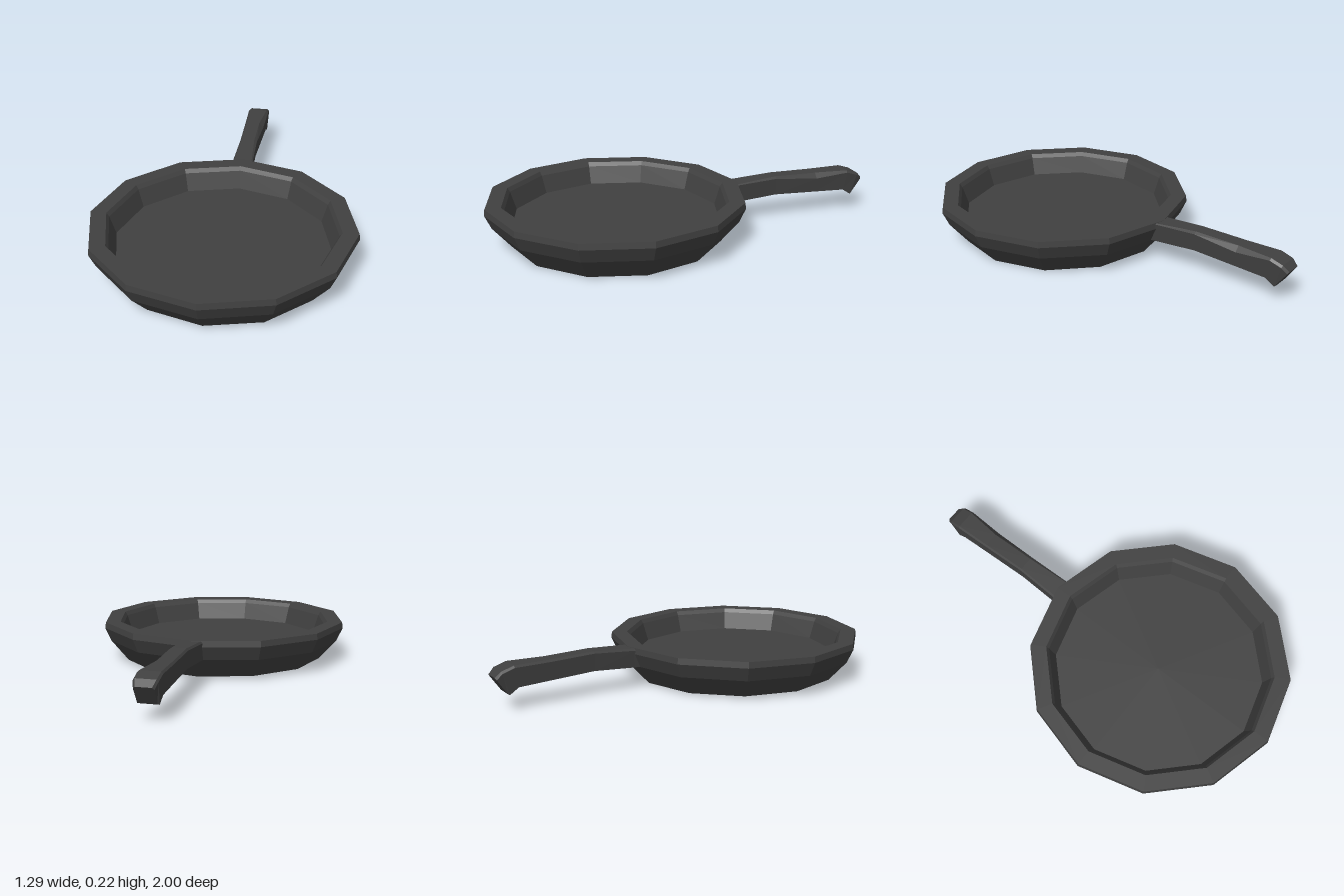
import * as THREE from 'three';

const PAN_Z = 0.35; // centre of the dish

// Twelve-sided dish turned from one closed profile
function makeDish(material) {
  const profile = [
    [0, 0.005], [0.525, 0.005], [0.615, 0.11], [0.647, 0.18], [0.643, 0.21], // underside and outer wall
    [0.565, 0.21], [0.552, 0.19], [0.522, 0.1], [0, 0.1], // rim, inner wall, floor
  ].map(([r, y]) => new THREE.Vector2(r, y));
  const geometry = new THREE.LatheGeometry(profile, 12);

  // The hand-cast base leans very slightly to one side
  const p = geometry.attributes.position;
  for (let i = 0; i < p.count; i++) {
    if (p.getY(i) < 0.05) p.setY(i, p.getY(i) - p.getX(i) * 0.009);
  }
  geometry.computeVertexNormals();

  const dish = new THREE.Mesh(geometry, material);
  dish.name = 'dish';
  dish.position.z = PAN_Z;
  return dish;
}

// Handle lofted through cross-sections, ending in a drooping tip
function makeHandle(material) {
  // top z, top y, bottom z, bottom y, half width, width and depth of the top chamfer
  const sections = [
    [-0.24, 0.205, -0.24, 0.11, 0.056, 0.004, 0.004],
    [-0.29, 0.208, -0.28, 0.112, 0.053, 0.006, 0.005],
    [-0.50, 0.222, -0.50, 0.125, 0.046, 0.014, 0.010],
    [-0.73, 0.216, -0.73, 0.116, 0.052, 0.024, 0.026],
    [-0.91, 0.215, -0.89, 0.110, 0.057, 0.010, 0.010],
    [-0.97, 0.196, -0.935, 0.080, 0.056, 0.010, 0.010],
    [-1.00, 0.168, -0.942, 0.084, 0.046, 0.010, 0.008],
  ];
  const positions = [];
  for (const [zt, yt, zb, yb, w, c, d] of sections) {
    const ring = [
      [w * 0.88, yb], [w, yt - d], [w - c, yt],
      [-w + 0.008, yt], [-w, yt - 0.01], [-w * 0.88, yb],
    ];
    for (const [x, y] of ring) {
      positions.push(x, y, THREE.MathUtils.mapLinear(y, yb, yt, zb, zt));
    }
  }

  const n = 6;
  const index = [];
  for (let s = 0; s < sections.length - 1; s++) {
    for (let i = 0; i < n; i++) {
      const a = s * n + i;
      const b = s * n + (i + 1) % n;
      index.push(a, a + n, b + n, a, b + n, b);
    }
  }
  // End face
  const last = (sections.length - 1) * n;
  for (let i = 1; i < n - 1; i++) index.push(last, last + i + 1, last + i);

  const geometry = new THREE.BufferGeometry();
  geometry.setAttribute('position', new THREE.Float32BufferAttribute(positions, 3));
  geometry.setIndex(index);
  geometry.computeVertexNormals();

  const handle = new THREE.Mesh(geometry, material);
  handle.name = 'handle';
  return handle;
}

export function createModel() {
  const castIron = new THREE.MeshStandardMaterial({ color: 0x404040, flatShading: true });
  castIron.name = 'cast iron';

  const pan = new THREE.Group();
  pan.name = 'fryingPan';
  pan.add(makeDish(castIron), makeHandle(castIron));
  return pan;
}
